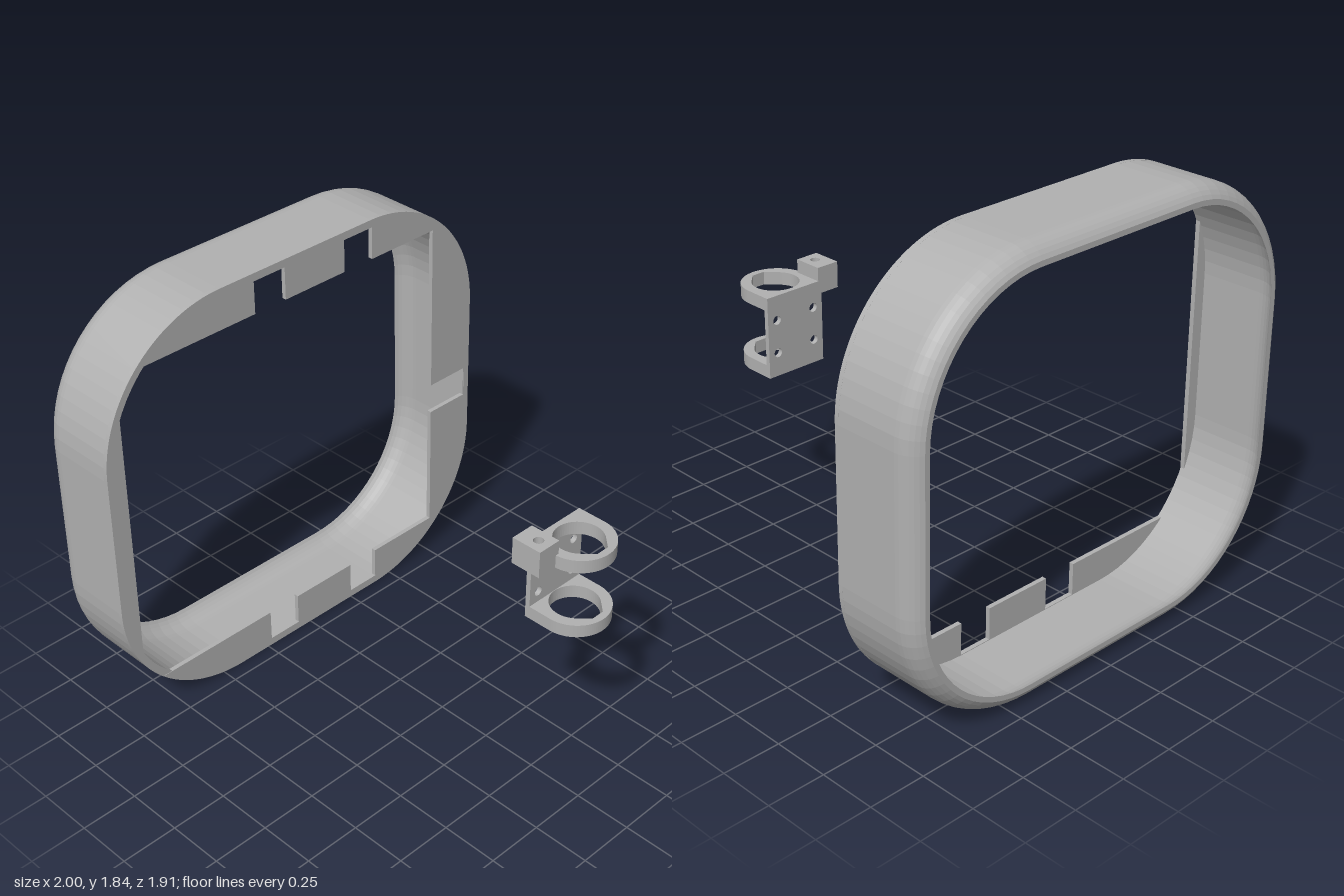
import * as THREE from 'three';

const grey = new THREE.MeshStandardMaterial({ color: 0xb0b0b0 });
grey.name = 'plain grey';

const CX = 0.4, YLOW = 0.6, YHIGH = 1.24, R = 0.6, SEG = 16;
const HALF = Math.PI / 2;

function add(group, name, geometry) {
  const mesh = new THREE.Mesh(geometry, grey);
  mesh.name = name;
  group.add(mesh);
  return mesh;
}

function polygon(points) {
  return new THREE.Shape(points.map(([x, y]) => new THREE.Vector2(x, y)));
}

function circleHole(x, y, r) {
  return new THREE.Path().absarc(x, y, r, 0, Math.PI * 2, true);
}

// Extrude a shape along z, its rear at z0
function slabZ(shape, z0, depth) {
  return new THREE.ExtrudeGeometry(shape, { depth, bevelEnabled: false, curveSegments: SEG }).translate(0, 0, z0);
}

// Extrude a shape drawn in x and z downward from y = top
function slabY(shape, top, depth) {
  return new THREE.ExtrudeGeometry(shape, { depth, bevelEnabled: false, curveSegments: 24 })
    .rotateX(HALF).translate(0, top, 0);
}

// Rounded square loop, moved inward by an offset
function roundedLoop(offset, z) {
  const corners = [[CX, YHIGH], [-CX, YHIGH], [-CX, YLOW], [CX, YLOW]];
  const loop = [];
  corners.forEach(([cx, cy], k) => {
    for (let i = 0; i <= SEG; i++) {
      const a = (k + i / SEG) * HALF;
      loop.push([cx + (R - offset) * Math.cos(a), cy + (R - offset) * Math.sin(a), z]);
    }
  });
  return loop;
}

// Thin wall whose rear edge curls inward
function wallGeometry() {
  const outer = [[0, -0.567]], inner = [[0.032, -0.567]];
  for (let i = 0; i <= 6; i++) {
    const a = (i / 6) * 1.13;
    const curl = 0.1 * (1 - Math.cos(a)), z = -0.862 - 0.1 * Math.sin(a);
    outer.push([curl, z]);
    inner.push([0.032 + curl * 0.83, z]);
  }
  const loops = [...outer, ...inner.reverse()].map(([o, z]) => roundedLoop(o, z));
  const pos = [];
  loops.forEach((loop, j) => {
    const next = loops[(j + 1) % loops.length];
    loop.forEach((p, i) => {
      const k = (i + 1) % loop.length;
      pos.push(...p, ...next[i], ...loop[k], ...loop[k], ...next[i], ...next[k]);
    });
  });
  const geo = new THREE.BufferGeometry();
  geo.setAttribute('position', new THREE.Float32BufferAttribute(pos, 3));
  geo.computeVertexNormals();
  // Bring the rear edge to its exact depth
  const p = geo.attributes.position;
  for (let i = 0; i < p.count; i++) p.setZ(i, Math.max(p.getZ(i), -0.953));
  return geo;
}

function makeFrame() {
  const frame = new THREE.Group();
  frame.name = 'frame';
  add(frame, 'curledWall', wallGeometry());

  // Front plate: opening limits, and angles where it cuts the left corners
  const L = -0.915, RT = 0.76, B = 0.178, T = 1.662;
  const aTop = Math.PI - Math.asin((T - YHIGH) / R);
  const aSide = Math.acos((L + CX) / R);
  const z0 = -0.585, thick = 0.02;

  const plate = new THREE.Shape();
  plate.absarc(-CX, YHIGH, R, aTop, HALF, true);
  plate.absarc(CX, YHIGH, R, HALF, 0, true);
  plate.absarc(CX, YLOW, R, 0, -HALF, true);
  plate.absarc(-CX, YLOW, R, -HALF, -aTop, true);
  const notches = [[-0.23, -0.07], [0.25, 0.405]];
  for (const [a, b] of notches) [[a, B], [a, 0.035], [b, 0.035], [b, B]].forEach((p) => plate.lineTo(...p));
  [[RT, B], [RT, 0.76], [0.97, 0.76], [0.97, 0.9], [RT, 0.9], [RT, T]].forEach((p) => plate.lineTo(...p));
  for (const [a, b] of notches.slice().reverse()) {
    [[b, T], [b, 1.805], [a, 1.805], [a, T]].forEach((p) => plate.lineTo(...p));
  }
  add(frame, 'frontPlate', slabZ(plate, z0, thick));

  const strip = new THREE.Shape();
  strip.absarc(-CX, YHIGH, R, aSide, Math.PI, false);
  strip.absarc(-CX, YLOW, R, Math.PI, Math.PI * 2 - aSide, false);
  add(frame, 'leftStrip', slabZ(strip, z0, thick));

  // Small tips standing out past the rounded corners
  const upper = new THREE.Shape();
  upper.moveTo(L, T);
  upper.absarc(-CX, YHIGH, R, aSide, aTop, aSide > aTop);
  add(frame, 'upperCornerTip', slabZ(upper, z0, thick));
  const lower = new THREE.Shape();
  lower.moveTo(L, B);
  lower.absarc(-CX, YLOW, R, -aSide, -aTop, aSide < aTop);
  add(frame, 'lowerCornerTip', slabZ(lower, z0, thick));
  return frame;
}

function makeBracket() {
  const bracket = new THREE.Group();
  bracket.name = 'bracket';
  const cx = 0.14, cz = 0.807, r = 0.146, back = 0.683;

  // Back plate with four screw holes
  const plate = polygon([[cx - r, 0.742], [cx + r, 0.742], [cx + r, 1.105], [cx - r, 1.105]]);
  for (const x of [0.042, 0.238]) for (const y of [0.847, 0.995]) plate.holes.push(circleHole(x, y, 0.02));
  add(bracket, 'backPlate', slabZ(plate, back, 0.021));

  // Two clamp rings with a teardrop opening
  const ring = new THREE.Shape();
  ring.moveTo(cx - r, back);
  ring.lineTo(cx + r, back);
  ring.absarc(cx, cz, r, 0, Math.PI, false);
  const hole = new THREE.Path();
  hole.absarc(cx, cz, 0.101, Math.PI * 0.75, Math.PI * 2.25, false);
  hole.lineTo(cx + 0.03, 0.922);
  hole.lineTo(cx - 0.03, 0.922);
  ring.holes.push(hole);
  add(bracket, 'upperRing', slabY(ring, 1.105, 0.057));
  add(bracket, 'lowerRing', slabY(ring, 0.798, 0.056));

  // Side block with a blind hole in its top
  const outline = [[-0.097, back], [0.01, back], [0.01, 0.818], [-0.097, 0.818]];
  const top = polygon(outline);
  top.holes.push(circleHole(-0.043, 0.763, 0.021));
  add(bracket, 'blockTop', slabY(top, 1.165, 0.06));
  const base = polygon([[-0.097, back], [0, back], [0, 0.818], [-0.097, 0.818]]);
  add(bracket, 'blockBase', slabY(base, 1.105, 0.057));
  return bracket;
}

export function createModel() {
  const model = new THREE.Group();
  model.name = 'frameAndBracket';
  model.add(makeFrame(), makeBracket());
  return model;
}
